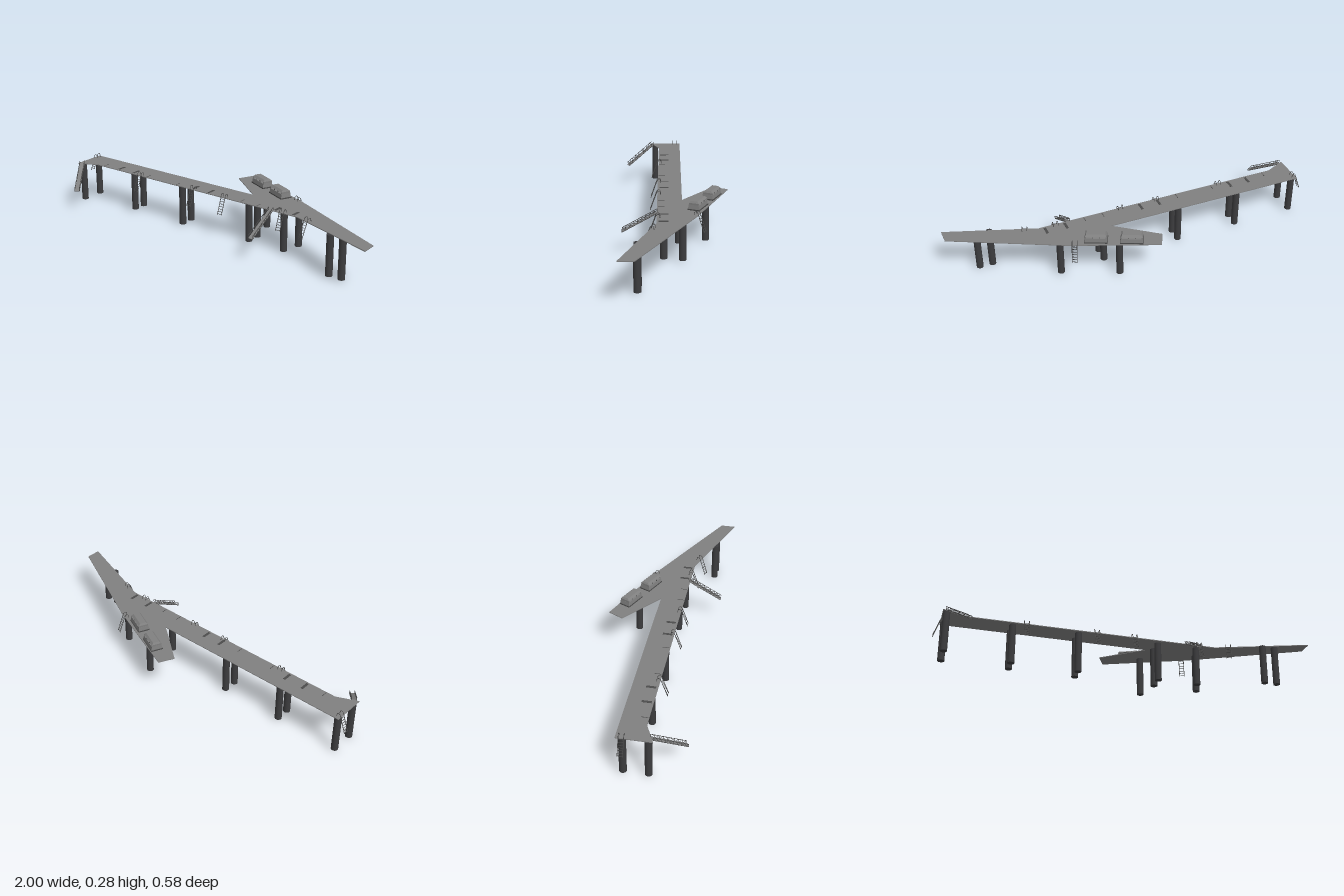
import * as THREE from 'three';

const DECK = 0.229; // walking level

export function createModel() {
  const model = new THREE.Group();
  const deckGray = new THREE.MeshStandardMaterial({ color: 0x808080 });
  deckGray.name = 'deck gray';
  const pileGray = new THREE.MeshStandardMaterial({ color: 0x3c3c3e });
  pileGray.name = 'pile dark gray';
  const steelGray = new THREE.MeshStandardMaterial({ color: 0x4c4c4c });
  steelGray.name = 'steel gray';

  const add = (parent, name, geometry, material) => {
    const mesh = new THREE.Mesh(geometry, material);
    mesh.name = name;
    parent.add(mesh);
    return mesh;
  };
  const group = (name, x, y, z, turn) => {
    const g = new THREE.Group();
    g.name = name;
    g.position.set(x, y, z);
    g.rotation.y = turn;
    model.add(g);
    return g;
  };
  const V = (x, y, z) => new THREE.Vector3(x, y, z);

  // Straight bar between two points
  const bar = (parent, name, a, b, r) => {
    const d = b.clone().sub(a);
    const m = add(parent, name, new THREE.CylinderGeometry(r, r, d.length(), 5), steelGray);
    m.position.copy(a).add(b).multiplyScalar(0.5);
    m.quaternion.setFromUnitVectors(V(0, 1, 0), d.normalize());
  };

  // Box tapering from a lower to an upper rectangle
  const taper = (w0, d0, w1, d1, y0, y1) => {
    const g = new THREE.BoxGeometry(1, 1, 1);
    const p = g.attributes.position;
    for (let i = 0; i < p.count; i++) {
      const top = p.getY(i) > 0;
      p.setXYZ(i, p.getX(i) * (top ? w1 : w0), top ? y1 : y0, p.getZ(i) * (top ? d1 : d0));
    }
    const flat = g.toNonIndexed();
    flat.computeVertexNormals();
    return flat;
  };

  // Deck: long walkway, diagonal wing and flared end
  const outline = [[-0.97, -0.04], [0.16, -0.04], [-0.06, -0.21], [-0.02, -0.29], [0.42, -0.11],
    [1, 0.18], [1, 0.26], [0.52, 0.09], [-0.86, 0.09], [-0.97, 0.14]];
  const shape = new THREE.Shape(outline.map(([x, z]) => new THREE.Vector2(x, -z)));
  const deckGeo = new THREE.ExtrudeGeometry(shape, { depth: 0.004, bevelEnabled: false });
  deckGeo.rotateX(-Math.PI / 2);
  add(model, 'deck', deckGeo, deckGray).position.y = DECK - 0.004;

  // Piles: x, z, foot height
  const piles = [[-0.95, 0.114, 0.006], [-0.95, -0.01, 0.006], [-0.6, 0.06, 0.006], [-0.6, -0.012, 0.004],
    [-0.245, 0.062, 0], [-0.245, -0.01, 0], [0.2, 0.055, 0.007], [0.2, -0.022, 0.006],
    [0.165, -0.164, 0.009], [0.42, 0.055, 0.007], [0.45, -0.04, 0.01], [0.765, 0.175, 0.008], [0.835, 0.175, 0.008]];
  for (const [x, z, foot] of piles) {
    const h = DECK - 0.003 - foot;
    add(model, 'pile', new THREE.CylinderGeometry(0.0185, 0.0185, h, 20), pileGray)
      .position.set(x, foot + h / 2, z);
  }

  // Ladders with curved grab rails; local +z points away from the deck
  const ladder = (x, z, turn) => {
    const g = group('ladder', x, DECK, z, turn);
    const foot = V(0, -0.086, 0.038), head = V(0, 0.004, 0.006);
    for (const s of [-0.013, 0.013]) {
      const at = (y, zz) => V(s, y, zz);
      const curve = new THREE.CatmullRomCurve3([at(0.002, 0.007), at(0.016, 0.0), at(0.02, -0.008),
        at(0.014, -0.015), at(-0.001, -0.018)]);
      add(g, 'grabRail', new THREE.TubeGeometry(curve, 12, 0.0016, 5), steelGray);
      bar(g, 'ladderRail', at(foot.y, foot.z), at(head.y, head.z), 0.0018);
    }
    for (let i = 0; i < 7; i++) {
      const p = foot.clone().lerp(head, (i + 0.3) / 7);
      bar(g, 'rung', V(-0.013, p.y, p.z), V(0.013, p.y, p.z), 0.0014);
    }
  };
  for (const x of [-0.53, -0.15, 0.06, 0.43]) ladder(x, 0.09, 0);
  ladder(0.59, 0.112, Math.atan2(-0.33, 0.94));
  ladder(0.395, -0.118, Math.atan2(0.41, -0.91));
  ladder(-0.965, -0.01, -Math.PI / 2);

  // Sloping gangways with trussed sides
  const gangway = (x, z, turn, run, drop) => {
    const g = group('gangway', x, DECK, z, turn);
    const at = (s, t, up) => V(s, up - drop * t, run * t);
    const floor = add(g, 'gangwayFloor', new THREE.BoxGeometry(0.026, 0.003, Math.hypot(run, drop)), deckGray);
    floor.position.set(0, -drop / 2, run / 2);
    floor.rotation.x = Math.atan2(drop, run);
    const bays = 9;
    for (const s of [-0.013, 0.013]) {
      bar(g, 'lowerChord', at(s, 0, 0), at(s, 1, 0), 0.0018);
      bar(g, 'handrail', at(s, 0, 0.016), at(s, 1, 0.016), 0.0016);
      for (let i = 0; i <= bays; i++) {
        bar(g, 'upright', at(s, i / bays, 0), at(s, i / bays, 0.016), 0.0012);
        if (i < bays) bar(g, 'brace', at(s, i / bays, 0), at(s, (i + 1) / bays, 0.016), 0.001);
      }
    }
  };
  gangway(-0.945, 0.13, Math.atan2(0.1, 0.15), 0.18, 0.107);
  gangway(0.36, 0.088, 0, 0.178, 0.1);

  // Shelters on the wing, open under the eaves
  for (const [x, z] of [[0.108, -0.197], [0.277, -0.12]]) {
    const g = group('shelter', x, DECK, z, -0.43);
    add(g, 'shelterFoot', taper(0.122, 0.064, 0.122, 0.064, 0, 0.006), steelGray);
    add(g, 'shelterBody', taper(0.118, 0.06, 0.113, 0.055, 0.006, 0.028), deckGray);
    add(g, 'shelterRoof', taper(0.112, 0.054, 0.1, 0.034, 0.037, 0.047), deckGray);
    for (const s of [-1, 1]) {
      const wall = add(g, 'endWall', new THREE.BoxGeometry(0.006, 0.01, 0.053), deckGray);
      wall.position.set(s * 0.053, 0.0325, 0);
      for (const px of [-0.018, 0.018]) {
        const post = add(g, 'windowPost', new THREE.BoxGeometry(0.003, 0.01, 0.003), steelGray);
        post.position.set(px, 0.0325, s * 0.025);
      }
    }
  }

  // Flat grates and joints in the walkway
  const plate = (name, x, z, w, d) => {
    add(model, name, new THREE.BoxGeometry(w, 0.001, d), steelGray).position.set(x, DECK + 0.0005, z);
  };
  for (const x of [-0.7, -0.59, -0.155, -0.05, 0.38, 0.49]) plate('grate', x, 0.055, 0.014, 0.05);
  for (const x of [-0.81, -0.485, -0.27, 0.165, 0.27]) plate('joint', x, 0.068, 0.003, 0.035);

  return model;
}
